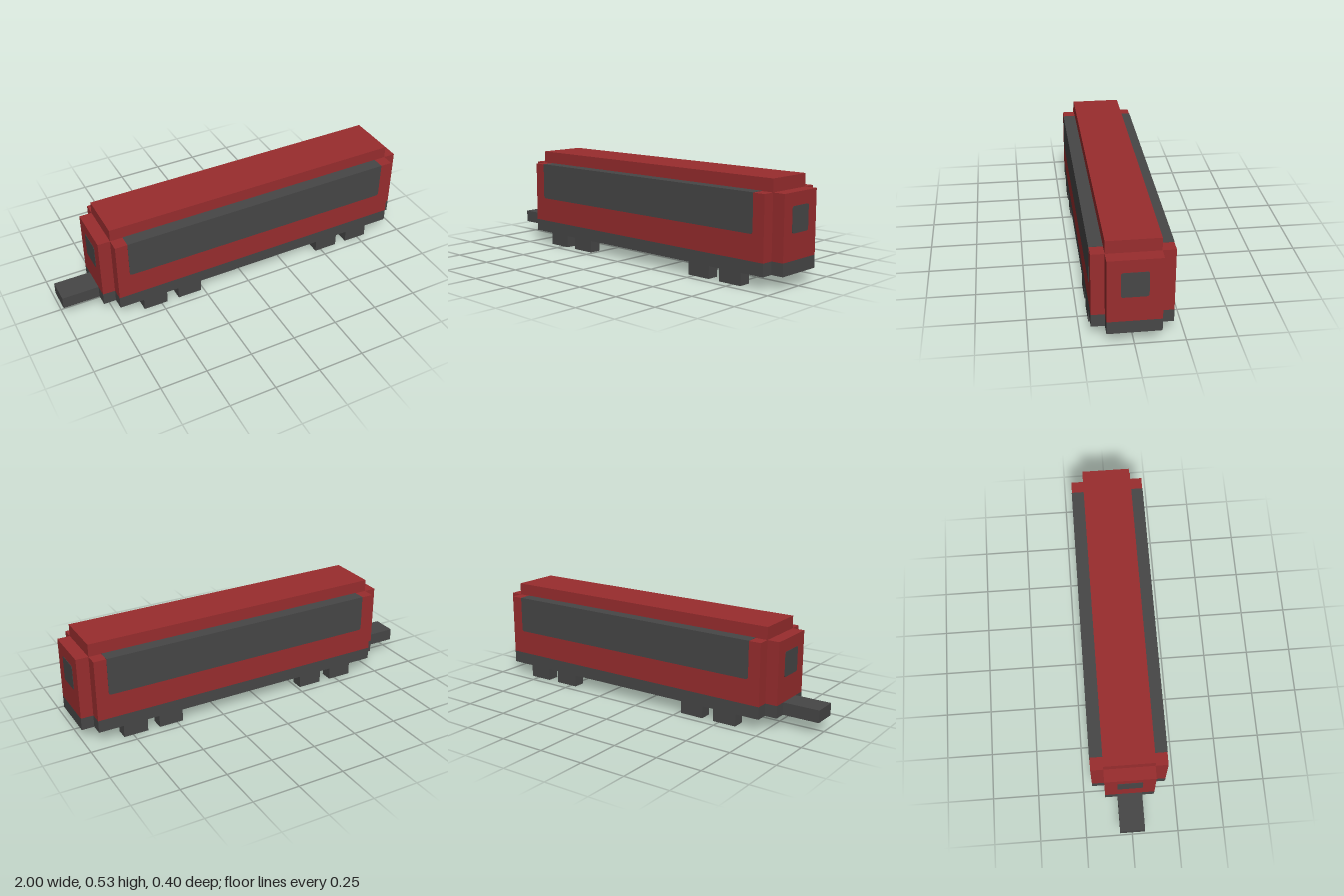
import * as THREE from 'three';

const U = 1 / 15; // modelling grid step

export function createModel() {
  const red = new THREE.MeshStandardMaterial({ color: 0x992d2e });
  red.name = 'red paint';
  const grey = new THREE.MeshStandardMaterial({ color: 0x474747 });
  grey.name = 'dark grey';

  const model = new THREE.Group();
  model.name = 'railCarriage';

  // Box given by its limits in grid steps
  function box(name, material, [x0, x1], [y0, y1], [z0, z1]) {
    const geometry = new THREE.BoxGeometry((x1 - x0) * U, (y1 - y0) * U, (z1 - z0) * U);
    const mesh = new THREE.Mesh(geometry, material);
    mesh.position.set((x0 + x1) * U / 2, (y0 + y1) * U / 2, (z0 + z1) * U / 2);
    mesh.name = name;
    model.add(mesh);
  }

  // Rectangle with separately rounded top and bottom corners
  function pane(w, h, top, bottom) {
    const s = new THREE.Shape();
    s.moveTo(-w / 2 + bottom, 0);
    s.lineTo(w / 2 - bottom, 0);
    s.quadraticCurveTo(w / 2, 0, w / 2, bottom);
    s.lineTo(w / 2, h - top);
    if (top) s.quadraticCurveTo(w / 2, h, w / 2 - top, h);
    s.lineTo(-w / 2 + top, h);
    if (top) s.quadraticCurveTo(-w / 2, h, -w / 2, h - top);
    s.lineTo(-w / 2, bottom);
    s.quadraticCurveTo(-w / 2, 0, -w / 2 + bottom, 0);
    return s;
  }

  function extrude(name, shape, depth) {
    const geometry = new THREE.ExtrudeGeometry(shape, { depth, bevelEnabled: false, curveSegments: 4 });
    geometry.translate(0, 0, -depth / 2);
    const mesh = new THREE.Mesh(geometry, grey);
    mesh.name = name;
    model.add(mesh);
    return mesh;
  }

  // Main body, narrower ends and roof
  box('chassis', grey, [-11, 14], [1, 2], [-3, 3]);
  box('body', red, [-11, 14], [2, 7], [-3, 3]);
  box('roof', red, [-11, 14], [7, 8], [-2, 2]);
  for (const [side, span] of [['right', [-12, -11]], ['left', [14, 15]]]) {
    box(side + 'EndChassis', grey, span, [1, 2], [-2, 2]);
    box(side + 'EndWall', red, span, [2, 7], [-2, 2]);
  }

  // Window band wrapping up onto the shoulders beside the roof
  const proud = 0.0015;
  const band = extrude('sideWindows', pane(23 * U, 3 * U + proud, 0, 0.014), 6 * U + 2 * proud);
  band.position.set(1.5 * U, 4 * U, 0);

  // Small windows on both end walls
  for (const [name, x] of [['rightEndWindow', -12], ['leftEndWindow', 15]]) {
    const win = extrude(name, pane(2 * U, 2 * U, 0.012, 0.012), 2 * proud);
    win.rotation.y = Math.PI / 2;
    win.position.set(x * U, 4 * U, 0);
  }

  // Coupling bar
  box('coupler', grey, [-15, -12], [1, 2], [-1, 1]);

  // Wheel blocks
  for (const x of [-9, -6, 7, 10]) {
    for (const z of [-3, 2]) box('wheel', grey, [x, x + 2], [0, 1], [z, z + 1]);
  }

  return model;
}
